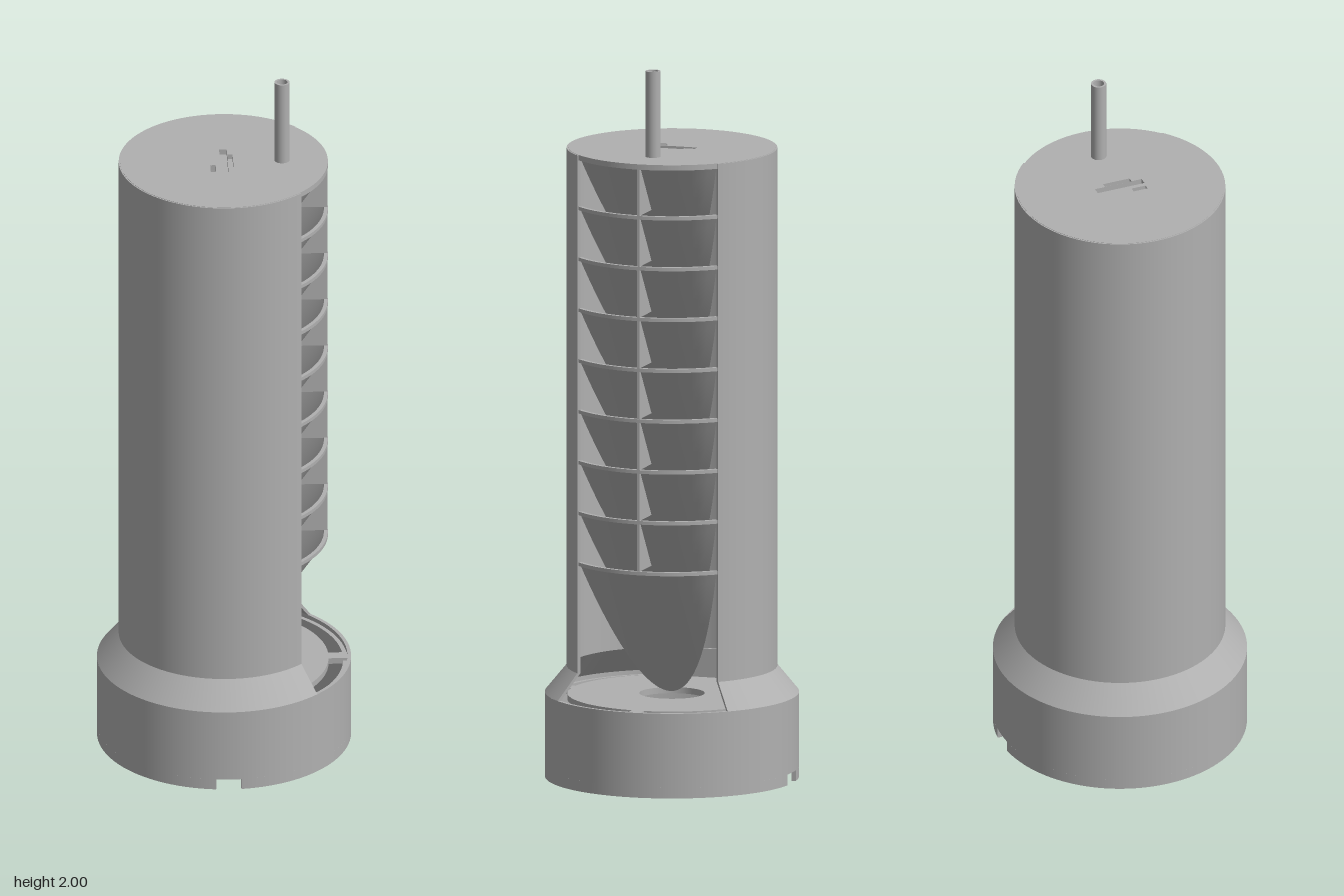
import * as THREE from 'three';
import { mergeGeometries } from 'three/addons/utils/BufferGeometryUtils.js';

const PI = Math.PI;
const OPEN_START = 0.75 * PI; // the solid three quarters start here, leaving +x open
const OPEN_SWEEP = 1.5 * PI;

// Revolves a closed counterclockwise [radius, y] profile with sharp edges and capped ends.
function revolve(profile, start = 0, sweep = 2 * PI, segments = 96) {
  const parts = profile.map((p, i) => {
    const q = profile[(i + 1) % profile.length];
    const pair = [new THREE.Vector2(...p), new THREE.Vector2(...q)];
    return new THREE.LatheGeometry(pair, segments, start, sweep);
  });
  if (sweep < 2 * PI) {
    const shape = new THREE.Shape(profile.map((p) => new THREE.Vector2(...p)));
    for (const phi of [start, start + sweep]) {
      parts.push(new THREE.ShapeGeometry(shape).rotateY(phi - PI / 2));
    }
  }
  return mergeGeometries(parts);
}

const band = (inner, outer, y0, y1) => [[outer, y0], [outer, y1], [inner, y1], [inner, y0]];

function rectPath(x0, x1, y0, y1) {
  const path = new THREE.Path();
  path.moveTo(x0, y0).lineTo(x1, y0).lineTo(x1, y1).lineTo(x0, y1).closePath();
  return path;
}

// Curved scoop that slopes inward and narrows to a point.
function scoopGeometry(top) {
  const rows = 20, cols = 20, pos = [], index = [];
  for (let i = 0; i <= rows; i++) {
    const v = 1 - i / rows;
    const t = 1 - v * v;
    for (let j = 0; j <= cols; j++) {
      const z = 0.2 * v * (1 - (2 * j) / cols);
      pos.push(Math.sqrt(0.285 ** 2 - z * z) - 0.27 * t, top - 0.38 * t, z);
      if (i < rows && j < cols) {
        const a = i * (cols + 1) + j, b = a + cols + 1;
        index.push(a, b, a + 1, b, b + 1, a + 1);
      }
    }
  }
  const geo = new THREE.BufferGeometry();
  geo.setAttribute('position', new THREE.Float32BufferAttribute(pos, 3));
  geo.setIndex(index);
  geo.computeVertexNormals();
  return geo;
}

export function createModel() {
  const group = new THREE.Group();
  const grey = new THREE.MeshStandardMaterial({ color: 0xb0b0b0, side: THREE.DoubleSide });
  grey.name = 'grey';
  const add = (name, geo, x = 0, y = 0, z = 0) => {
    const mesh = new THREE.Mesh(geo, grey);
    mesh.name = name;
    mesh.position.set(x, y, z);
    group.add(mesh);
    return mesh;
  };

  // Base ring: stepped wall with a notch at front and back
  add('baseWall', revolve([[0.35, 0.03], [0.35, 0.237], [0.34, 0.237], [0.34, 0.225],
    [0.328, 0.225], [0.328, 0.03]]));
  for (const start of [0, PI]) {
    add('baseFoot', revolve(band(0.338, 0.35, 0, 0.03), start + 0.1, PI - 0.2, 48));
  }

  // Floor plate with a central hole, held by four spokes
  add('floorPlate', revolve(band(0.09, 0.288, 0.215, 0.232)));
  for (let i = 0; i < 4; i++) {
    const spoke = new THREE.BoxGeometry(0.06, 0.017, 0.036).translate(0.31, 0.2235, 0);
    add('spoke', spoke.rotateY((i * PI) / 2));
  }

  // Sloped skirt and tall body, both open over a quarter turn
  add('skirt', revolve([[0.35, 0.237], [0.29, 0.31], [0.28, 0.31], [0.34, 0.237]],
    OPEN_START, OPEN_SWEEP));
  add('body', revolve(band(0.28, 0.29, 0.31, 1.759), OPEN_START, OPEN_SWEEP));
  add('rearPanel', new THREE.BoxGeometry(0.01, 0.08, 0.17), -0.265, 0.272, 0);

  // Lid with hanger slots and a small through hole
  const lid = new THREE.Shape();
  lid.absarc(0, 0, 0.286, 0, 2 * PI);
  const slots = [[-0.011, 0.01, -0.068, 0.07], [0.0102, 0.025, -0.038, 0.04]];
  lid.holes.push(rectPath(-0.039, -0.024, -0.066, -0.025));
  slots.forEach((s) => lid.holes.push(rectPath(...s)));
  const lidGeo = new THREE.ExtrudeGeometry(lid, { depth: 0.015, bevelEnabled: false, curveSegments: 96 });
  add('lid', lidGeo.rotateX(-PI / 2), 0, 1.745, 0);
  add('slotFloor', new THREE.BoxGeometry(0.045, 0.01, 0.15), 0.007, 1.74, 0);

  // Hollow rod rising from the lid
  const rod = revolve(band(0.015, 0.021, 1.72, 2), 0, 2 * PI, 32);
  add('rod', rod, 0.16, 0, 0);
  add('rodPlug', new THREE.CylinderGeometry(0.016, 0.016, 0.01, 32), 0.16, 1.75, 0);

  // Stack of scoops with rims, braced by triangular webs
  const step = 0.1422;
  const web = new THREE.Shape();
  web.moveTo(0.285, 0).lineTo(0.185, -step).lineTo(0.285, -step).closePath();
  for (let i = 0; i < 9; i++) {
    const top = 0.62 + i * step;
    add('scoop', scoopGeometry(top));
    add('scoopRim', revolve(band(0.275, 0.286, top - 0.01, top), PI / 4, PI / 2, 32));
    if (i > 0) {
      const geo = new THREE.ExtrudeGeometry(web, { depth: 0.008, bevelEnabled: false });
      add('web', geo, 0, top, -0.004);
    }
  }
  return group;
}
